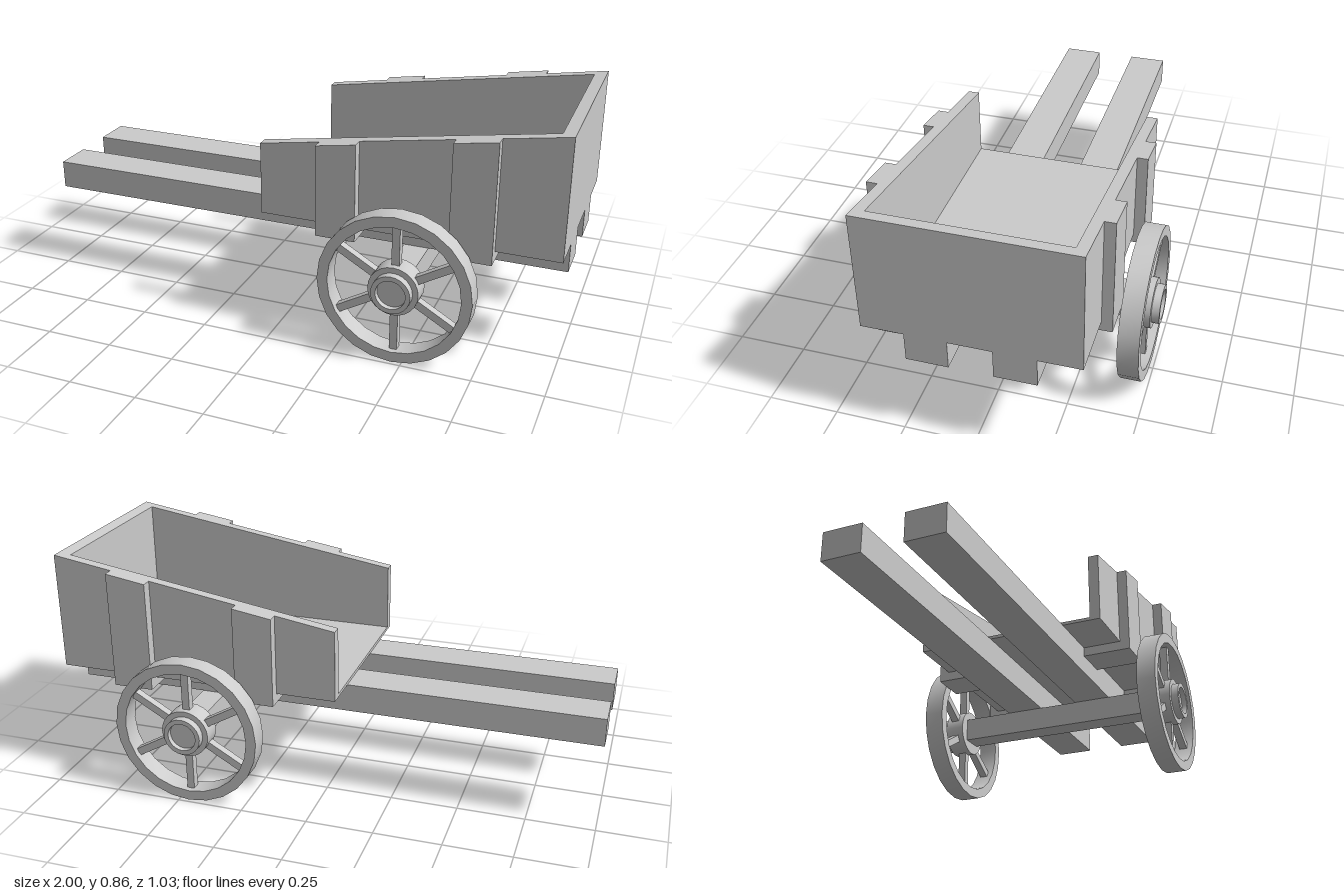
import * as THREE from 'three';
import { toCreasedNormals } from 'three/addons/utils/BufferGeometryUtils.js';

const material = new THREE.MeshStandardMaterial({ color: 0xcccccc });
const FLOOR = 0.43, FRONT = -0.07, HALF = 0.367, INNER = 0.327;
const rim = x => 0.695 + (x - FRONT) * 0.16; // sloping top edge of the bed

function add(parent, name, geometry, x = 0, y = 0, z = 0) {
  const mesh = new THREE.Mesh(geometry, material);
  mesh.name = name;
  mesh.position.set(x, y, z);
  parent.add(mesh);
  return mesh;
}

// Box given by its min and max corners
function block(parent, name, [x0, y0, z0], [x1, y1, z1]) {
  return add(parent, name, new THREE.BoxGeometry(x1 - x0, y1 - y0, z1 - z0),
    (x0 + x1) / 2, (y0 + y1) / 2, (z0 + z1) / 2);
}

// Upright board whose top follows the sloping rim
function board(parent, name, x0, x1, bottom, z0, z1) {
  const shape = new THREE.Shape([
    new THREE.Vector2(x0, bottom), new THREE.Vector2(x1, bottom),
    new THREE.Vector2(x1, rim(x1)), new THREE.Vector2(x0, rim(x0)),
  ]);
  const geometry = new THREE.ExtrudeGeometry(shape, { depth: z1 - z0, bevelEnabled: false });
  return add(parent, name, geometry, 0, 0, z0);
}

// Turned part from a profile of [radius, height] pairs
function turned(profile, segments) {
  const points = profile.map(p => new THREE.Vector2(...p));
  return toCreasedNormals(new THREE.LatheGeometry(points, segments), 0.5);
}

// Wheel turned about y, with +y as its outer face
function createWheel() {
  const wheel = new THREE.Group();
  wheel.name = 'wheel';
  add(wheel, 'wheelRim', turned([
    [0.237, -0.037], [0.275, -0.037], [0.275, 0.037], [0.237, 0.037], [0.237, -0.037],
  ], 24));
  add(wheel, 'hub', turned([
    [0, -0.037], [0.09, -0.037], [0.09, 0.037], [0.07, 0.037],
    [0.07, 0.065], [0.053, 0.065], [0.053, 0.045], [0, 0.045],
  ], 24));
  for (let i = 0; i < 6; i++) {
    const angle = Math.PI / 2 + i * Math.PI / 3;
    const spoke = add(wheel, 'spoke', new THREE.BoxGeometry(0.17, 0.03, 0.028),
      Math.cos(angle) * 0.16, 0, Math.sin(angle) * 0.16);
    spoke.rotation.y = -angle;
  }
  return wheel;
}

export function createModel() {
  const cart = new THREE.Group();
  cart.name = 'handCart';

  // Cart bed, open at the handle end
  block(cart, 'floor', [FRONT, FLOOR, -INNER], [0.955, FLOOR + 0.012, INNER]);
  board(cart, 'tailBoard', 0.955, 1, FLOOR, -INNER, INNER);

  for (const side of [1, -1]) {
    const span = (a, b) => side > 0 ? [a, b] : [-b, -a];
    board(cart, 'sideBoard', FRONT, 1, FLOOR, ...span(INNER, HALF));

    // Battens outside the side boards, with bearers running under the floor
    for (const [x0, x1] of [[0.15, 0.295], [0.625, 0.775]]) {
      board(cart, 'batten', x0, x1, 0.395, ...span(HALF, 0.405));
      const [z0, z1] = span(0.22, HALF);
      block(cart, 'bearer', [x0, 0.395, z0], [x1, FLOOR, z1]);
    }

    // Long handle beam
    const [b0, b1] = span(0.075, 0.22);
    block(cart, 'handleBeam', [-1, 0.325, b0], [1, FLOOR, b1]);

    const wheel = createWheel();
    wheel.position.set(0.463, 0.278, side * 0.45);
    wheel.rotation.x = side * Math.PI / 2;
    cart.add(wheel);
  }

  block(cart, 'axle', [0.418, 0.234, -0.42], [0.508, 0.324, 0.42]);
  return cart;
}
